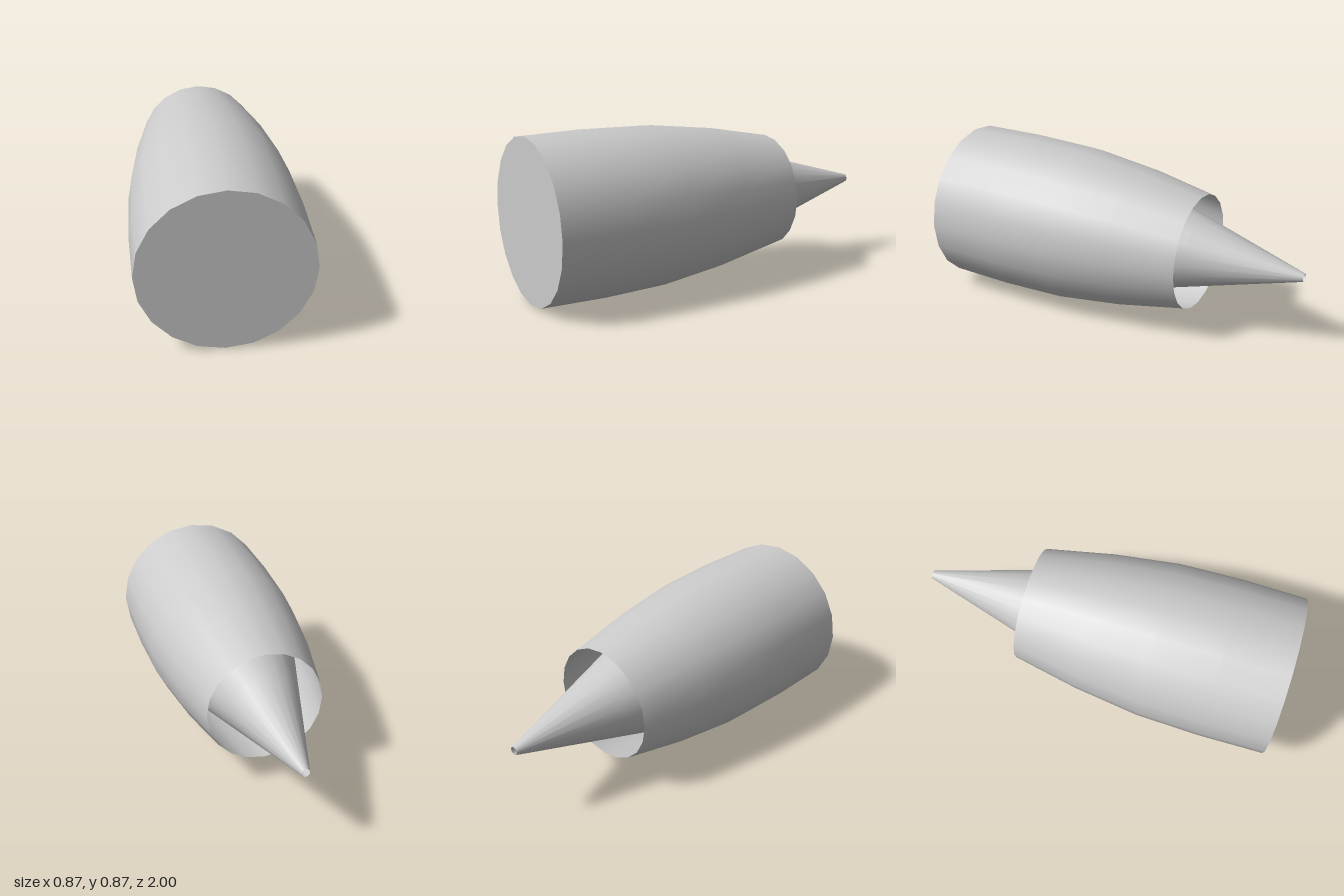
import * as THREE from 'three';

const SIDES = 20;
const AXIS_Y = 0.44;

export function createModel() {
  const group = new THREE.Group();
  const material = new THREE.MeshStandardMaterial({ color: 0xcccccc, side: THREE.DoubleSide });

  const add = (name, geometry) => {
    const mesh = new THREE.Mesh(geometry, material);
    mesh.name = name;
    mesh.position.y = AXIS_Y;
    group.add(mesh);
  };

  // Open shell of revolution around z, from [radius, z] pairs running back to front
  const shell = (profile) =>
    new THREE.LatheGeometry(profile.map(([r, z]) => new THREE.Vector2(r, z)), SIDES).rotateX(Math.PI / 2);

  // Tapered outer casing, open at the back
  add('casing', shell([[0.31, -0.42], [0.38, -0.06], [0.426, 0.3], [0.436, 0.65], [0.43, 1]]));

  // Flat disc closing the front
  add('frontDisc', new THREE.CircleGeometry(0.43, SIDES).translate(0, 0, 1));

  // Hollow exhaust cone, its wide end hidden inside the casing
  add('exhaustCone', shell([[0.022, -1], [0.19, -0.42], [0.306, -0.02]]));

  return group;
}
